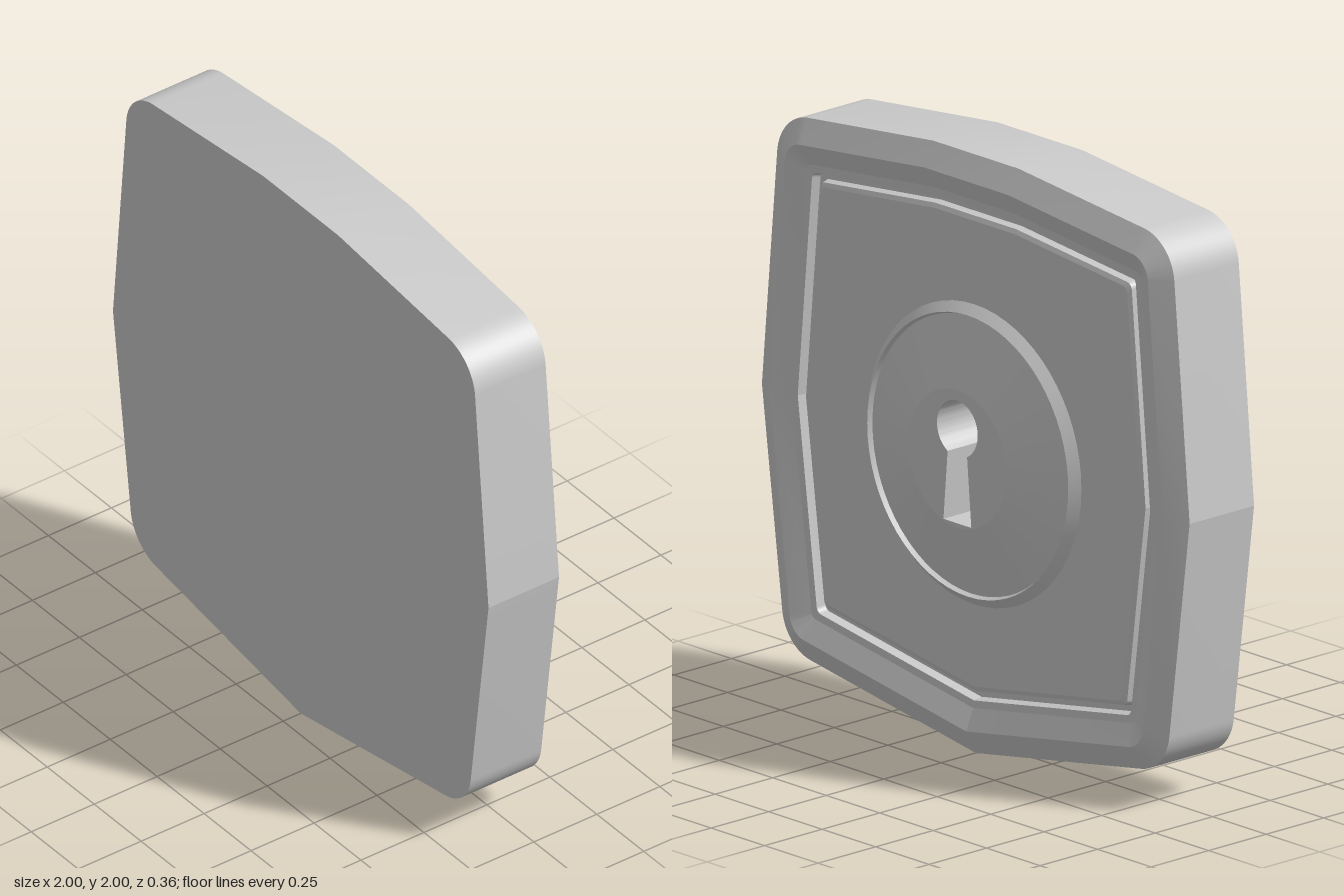
import * as THREE from 'three';
import { toCreasedNormals } from 'three/addons/utils/BufferGeometryUtils.js';

const CENTER_Y = 1;
const material = new THREE.MeshStandardMaterial({ color: 0xcccccc });

// Outline corners, counter-clockwise from the front: [x, y, fillet radius]
const half = [[0.89, 0.148, 0.16], [1, 1, 0], [0.917, 1.925, 0.16], [0.2, 2, 0]];
const corners = [[0, 0, 0], ...half, ...half.map(([x, y, r]) => [-x, y, r]).reverse()];

// Outline moved inward by d, with its fillets shrunk to match
function outline(d) {
  const n = corners.length;
  const base = corners.map(([x, y]) => new THREE.Vector2(x, y));
  const dir = base.map((p, i) => base[(i + 1) % n].clone().sub(p).normalize());
  const pts = base.map((p, i) => {
    const a = dir[(i + n - 1) % n], b = dir[i];
    const bisector = new THREE.Vector2(-a.y - b.y, a.x + b.x);
    return p.clone().addScaledVector(bisector, d / (1 + a.dot(b)));
  });
  const out = [];
  pts.forEach((p, i) => {
    if (!corners[i][2]) { out.push(p); return; }
    const a = dir[(i + n - 1) % n], b = dir[i];
    const r = Math.max(corners[i][2] - d, 0.025);
    const turn = Math.acos(a.dot(b));
    const start = p.clone().addScaledVector(a, -r * Math.tan(turn / 2));
    const c = start.clone().add(new THREE.Vector2(-a.y, a.x).multiplyScalar(r));
    const a0 = Math.atan2(-a.x, a.y);
    for (let k = 0; k <= 16; k++) {
      const t = a0 + turn * k / 16;
      out.push(new THREE.Vector2(c.x + r * Math.cos(t), c.y + r * Math.sin(t)));
    }
  });
  return out;
}

// Skin through inset outlines, each given as [inset, z]
function loft(sections) {
  const rings = sections.map(([d, z]) => outline(d).map(p => [p.x, p.y, z]));
  const n = rings[0].length, pos = [];
  for (let s = 0; s + 1 < rings.length; s++) {
    for (let i = 0; i < n; i++) {
      const j = (i + 1) % n;
      const a = rings[s][i], b = rings[s][j], c = rings[s + 1][i], e = rings[s + 1][j];
      pos.push(...a, ...c, ...b, ...b, ...c, ...e);
    }
  }
  const g = new THREE.BufferGeometry();
  g.setAttribute('position', new THREE.Float32BufferAttribute(pos, 3));
  return toCreasedNormals(g, 0.13);
}

export function createModel() {
  const group = new THREE.Group();
  const add = (name, geometry, y = 0, z = 0) => {
    const mesh = new THREE.Mesh(geometry, material);
    mesh.name = name;
    mesh.position.set(0, y, z);
    group.add(mesh);
  };

  // Flat front
  add('frontFace', new THREE.ShapeGeometry(new THREE.Shape(outline(0))), 0, 0.18);

  // Side wall, beveled rim, groove and raised panel edge
  add('rim', loft([
    [0, 0.18], [0, -0.1], [0.08, -0.142], [0.15, -0.11], [0.175, -0.108],
    [0.18, -0.075], [0.2, -0.075], [0.205, -0.1], [0.22, -0.107],
  ]));

  // Recessed back panel, open beneath the escutcheon
  const panel = new THREE.Shape(outline(0.22));
  panel.holes.push(new THREE.Path().absarc(0, CENTER_Y, 0.49, 0, Math.PI * 2, true));
  add('backPanel', new THREE.ShapeGeometry(panel, 48).rotateY(Math.PI), 0, -0.107);

  // Round escutcheon: beveled ring, fine step and shallow cone
  const profile = [[0.505, 0.104], [0.47, 0.135], [0.463, 0.119], [0.23, 0.18]]
    .map(([r, h]) => new THREE.Vector2(r, h));
  const escutcheon = new THREE.LatheGeometry(profile, 64).rotateX(-Math.PI / 2);
  add('escutcheon', toCreasedNormals(escutcheon, 0.13), CENTER_Y);

  // Central boss pierced by the keyhole
  const boss = new THREE.Shape().absarc(0, 0, 0.23, 0, Math.PI * 2, false);
  const keyhole = new THREE.Path();
  keyhole.moveTo(-0.065, -0.215);
  keyhole.lineTo(0.065, -0.215);
  const join = 0.5;
  keyhole.absarc(0, 0.1, 0.095, -Math.PI / 2 + join, Math.PI * 1.5 - join, false);
  keyhole.closePath();
  boss.holes.push(keyhole);
  const bossGeometry = new THREE.ExtrudeGeometry(boss, {
    depth: 0.18, bevelEnabled: false, curveSegments: 32,
  });
  add('keyholeBoss', toCreasedNormals(bossGeometry, 0.3), CENTER_Y, -0.18);
  add('keyholeFloor', new THREE.CircleGeometry(0.23, 32).rotateY(Math.PI), CENTER_Y, 0);

  return group;
}
